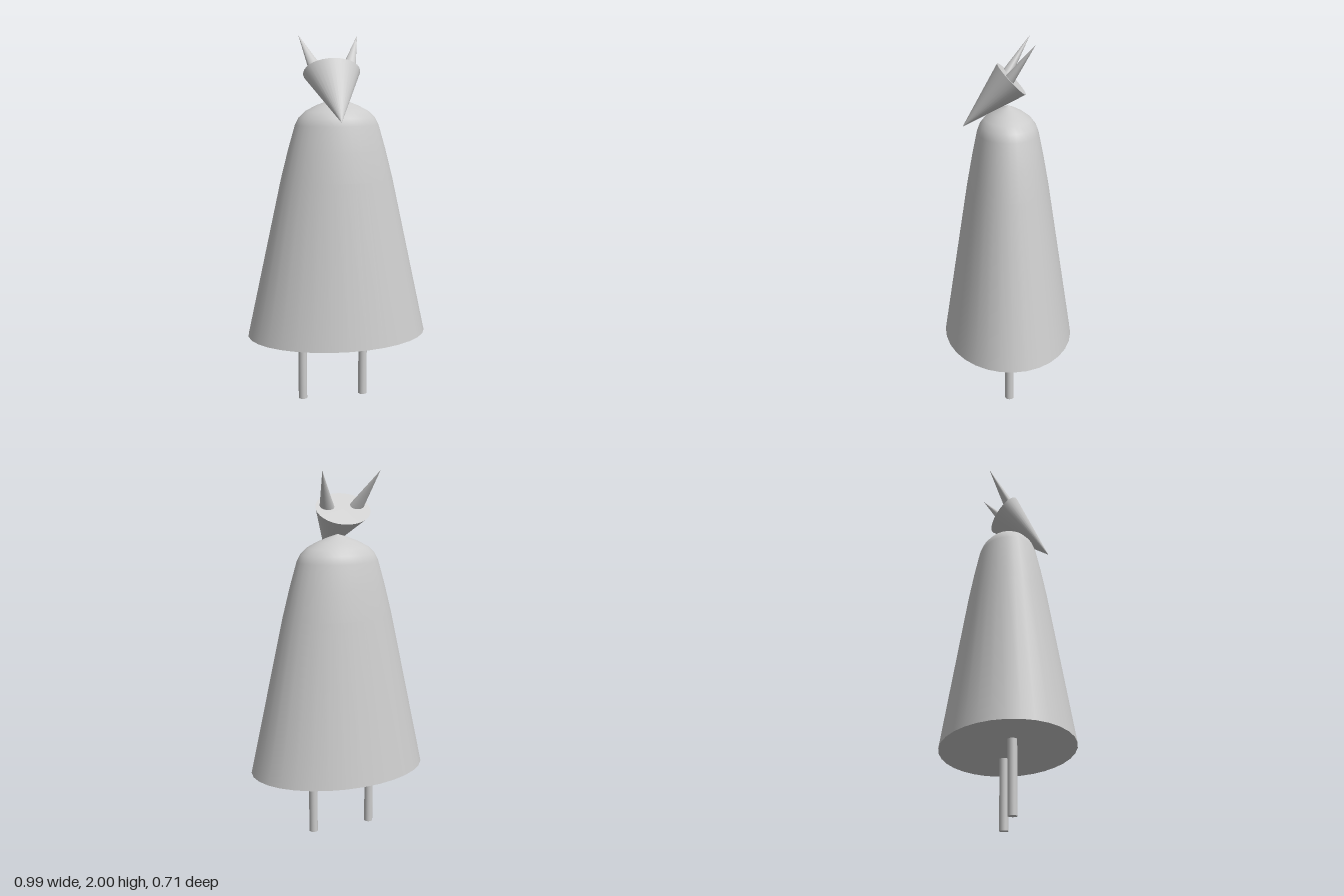
import * as THREE from 'three';

const material = new THREE.MeshStandardMaterial({ color: 0xcccccc });

function part(name, geometry, parent) {
  const mesh = new THREE.Mesh(geometry, material);
  mesh.name = name;
  parent.add(mesh);
  return mesh;
}

// Closed cone running from the centre of its base to its tip
function coneBetween(name, base, tip, radius, parent) {
  const axis = tip.clone().sub(base);
  const mesh = part(name, new THREE.ConeGeometry(radius, axis.length(), 32), parent);
  mesh.position.copy(base).add(tip).multiplyScalar(0.5);
  mesh.quaternion.setFromUnitVectors(new THREE.Vector3(0, 1, 0), axis.normalize());
  return mesh;
}

export function createModel() {
  const model = new THREE.Group();
  model.name = 'hornedFigure';
  const midX = -0.023; // head and legs sit slightly off the cloak's centre

  // Bell-shaped cloak, flattened front to back
  const cloak = new THREE.Group();
  cloak.name = 'cloak';
  cloak.scale.z = 0.717;
  model.add(cloak);
  const profile = [
    [0.495, 0.38], [0.305, 1.24], [0.264, 1.4], [0.226, 1.53], [0.205, 1.57],
    [0.17, 1.603], [0.115, 1.632], [0.055, 1.655], [0, 1.672],
  ].map(([r, y]) => new THREE.Vector2(r, y));
  part('cloakSurface', new THREE.LatheGeometry(profile, 32), cloak);
  const underside = part('cloakUnderside', new THREE.CircleGeometry(0.495, 32), cloak);
  underside.rotation.x = Math.PI / 2;
  underside.rotation.z = Math.PI / 2;
  underside.position.y = 0.38;

  // Head: a cone pointing forward and down, widened with its horns
  const head = new THREE.Group();
  head.name = 'head';
  head.position.x = midX;
  head.scale.x = 1.45;
  model.add(head);
  coneBetween('face', new THREE.Vector3(0, 1.803, -0.021), new THREE.Vector3(0, 1.555, 0.235), 0.106, head);

  // Mirrored horns and legs
  for (const [side, s] of [['left', 1], ['right', -1]]) {
    coneBetween(side + 'Horn', new THREE.Vector3(s * 0.052, 1.791, 0.013),
      new THREE.Vector3(s * 0.111, 2, -0.128), 0.031, head);
    const leg = part(side + 'Leg', new THREE.CylinderGeometry(0.024, 0.024, 0.5, 24), model);
    leg.position.set(midX + s * 0.172, 0.25, 0);
  }
  return model;
}
